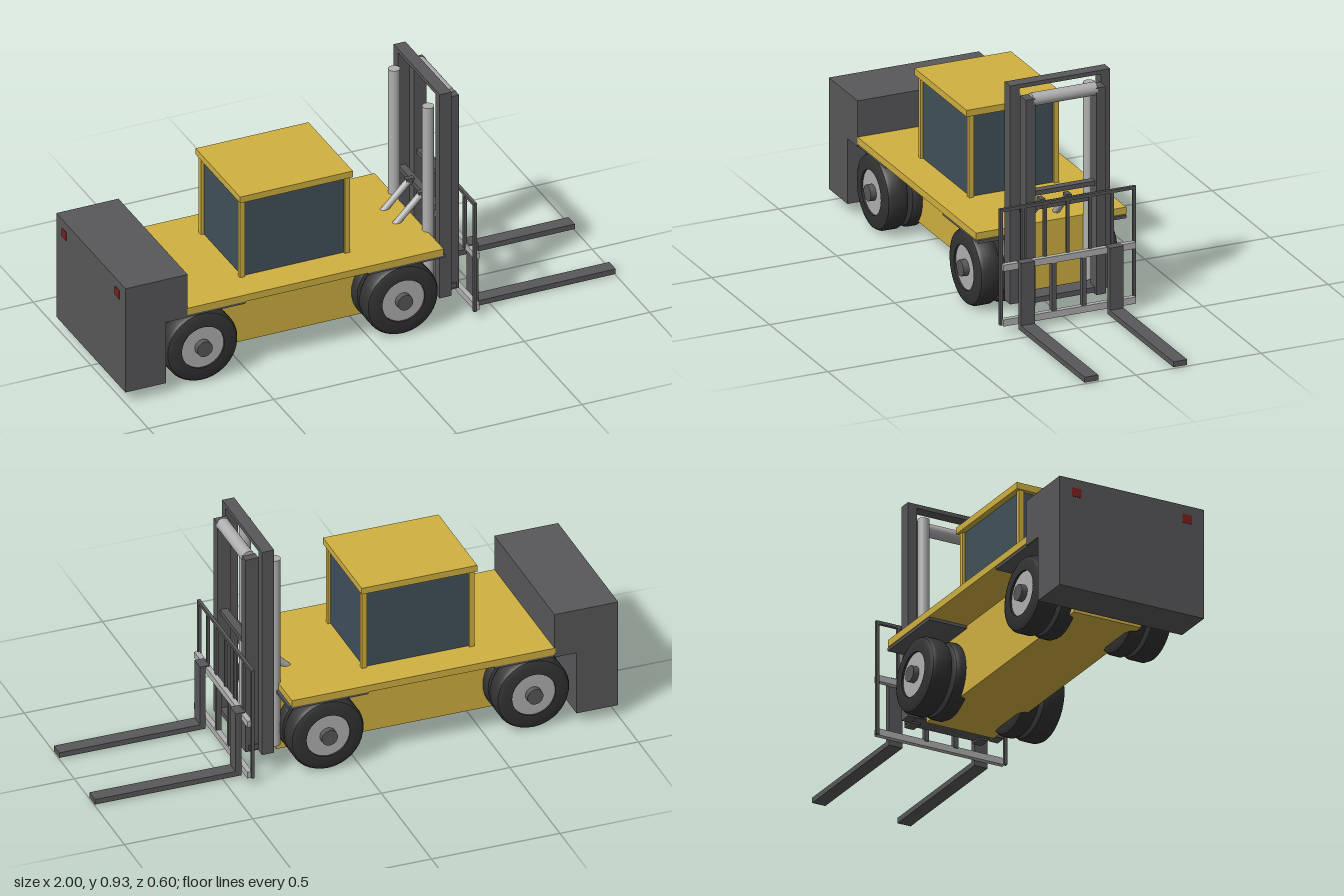
import * as THREE from 'three';
import { toCreasedNormals } from 'three/addons/utils/BufferGeometryUtils.js';

const mat = (color) => new THREE.MeshStandardMaterial({ color });

export function createModel() {
  const root = new THREE.Group();
  const yellow = mat(0xd0b040), dark = mat(0x58585a), black = mat(0x333333);
  const light = mat(0xb0b0b0), glass = mat(0x40505a), red = mat(0x802020);

  const add = (name, geometry, material, parent = root) => {
    const mesh = new THREE.Mesh(geometry, material);
    mesh.name = name;
    parent.add(mesh);
    return mesh;
  };
  // Box given by its lower and upper limits on each axis
  const box = (name, material, x0, x1, y0, y1, z0, z1, parent = root) => {
    const g = new THREE.BoxGeometry(x1 - x0, y1 - y0, z1 - z0);
    g.translate((x0 + x1) / 2, (y0 + y1) / 2, (z0 + z1) / 2);
    return add(name, g, material, parent);
  };
  // Round bar between two points
  const rod = (name, material, a, b, r, parent = root) => {
    const p = new THREE.Vector3(...a), d = new THREE.Vector3(...b).sub(p);
    const mesh = add(name, new THREE.CylinderGeometry(r, r, d.length(), 24), material, parent);
    mesh.position.copy(p).addScaledVector(d, 0.5);
    mesh.quaternion.setFromUnitVectors(new THREE.Vector3(0, 1, 0), d.normalize());
    return mesh;
  };
  const group = (name) => {
    const g = new THREE.Group();
    g.name = name;
    root.add(g);
    return g;
  };

  // Chassis and deck
  box('chassis', yellow, -0.82, 0.27, 0.05, 0.316, -0.14, 0.14);
  box('deck', yellow, -0.755, 0.27, 0.315, 0.343, -0.3, 0.3);

  // Counterweight with a notch above the rear wheels
  const weight = new THREE.Shape([
    [-1, 0.05], [-0.838, 0.05], [-0.838, 0.305], [-0.752, 0.305], [-0.752, 0.485], [-1, 0.485],
  ].map(([x, y]) => new THREE.Vector2(x, y)));
  const weightGeo = new THREE.ExtrudeGeometry(weight, { depth: 0.6, bevelEnabled: false });
  weightGeo.translate(0, 0, -0.3);
  add('counterweight', weightGeo, dark);

  // Cab
  const cab = group('cab');
  box('windows', glass, -0.475, -0.06, 0.342, 0.666, -0.17, 0.17, cab);
  box('roof', yellow, -0.493, -0.043, 0.664, 0.69, -0.193, 0.193, cab);
  for (const x of [-0.477, -0.059])
    for (const z of [-0.17, 0.17])
      box('cabPost', yellow, x - 0.01, x + 0.01, 0.342, 0.666, z - 0.01, z + 0.01, cab);

  // Twin-tyre wheels, axis along z
  const tyre = (z0, z1) => {
    const c = 0.015;
    const g = new THREE.LatheGeometry([
      [0.085, z0], [0.122, z0], [0.138, z0 + c / 2], [0.145, z0 + c * 1.4],
      [0.145, z1 - c * 1.4], [0.138, z1 - c / 2], [0.122, z1], [0.085, z1], [0.085, z0],
    ].map(([r, z]) => new THREE.Vector2(r, z)), 40);
    g.rotateX(Math.PI / 2);
    return toCreasedNormals(g, 0.6);
  };
  const tyres = [tyre(0.11, 0.184), tyre(0.188, 0.28)];
  for (const x of [-0.68, 0.12])
    for (const side of [1, -1]) {
      const wheel = group('wheel');
      wheel.position.set(x, 0.15, 0);
      if (side < 0) wheel.rotation.y = Math.PI;
      tyres.forEach((g) => add('tyre', g, black, wheel));
      rod('rim', light, [0, 0, 0.115], [0, 0, 0.272], 0.087, wheel);
      rod('hub', dark, [0, 0, 0.26], [0, 0, 0.295], 0.031, wheel);
    }

  // Parts mirrored left and right of the centre line
  const mast = group('mast'), carriage = group('carriage');
  for (const s of [1, -1]) {
    const pair = (name, m, x0, x1, y0, y1, z0, z1, parent) =>
      box(name, m, x0, x1, y0, y1, Math.min(s * z0, s * z1), Math.max(s * z0, s * z1), parent);

    pair('rearFender', dark, -0.83, -0.52, 0.304, 0.316, 0.135, 0.296);
    pair('frontFender', dark, -0.03, 0.28, 0.304, 0.316, 0.135, 0.296);
    pair('tailLight', red, -1.0, -0.99, 0.415, 0.45, 0.21, 0.25).position.x = -0.002;

    pair('outerUpright', dark, 0.3, 0.347, 0.075, 0.93, 0.163, 0.2, mast);
    pair('innerUpright', dark, 0.345, 0.396, 0.075, 0.885, 0.122, 0.16, mast);
    rod('liftCylinder', light, [0.278, 0.08, s * 0.148], [0.278, 0.862, s * 0.148], 0.022, mast);
    rod('tiltCylinder', light, [0.185, 0.33, s * 0.053], [0.29, 0.435, s * 0.053], 0.013, mast);
    pair('tiltBracket', dark, 0.28, 0.312, 0.425, 0.45, 0.043, 0.063, mast);

    // Forks with their hooks
    const fork = group('fork');
    pair('shank', dark, 0.43, 0.452, 0.01, 0.27, 0.15, 0.205, fork);
    pair('tine', dark, 0.43, 1, 0.01, 0.031, 0.15, 0.205, fork);
    pair('hook', dark, 0.415, 0.452, 0.262, 0.274, 0.15, 0.205, fork);

    pair('carriageBar', dark, 0.406, 0.426, 0.05, 0.25, 0.052, 0.069, carriage);
  }

  // Mast cross members and chain roller
  box('outerTopBeam', dark, 0.3, 0.347, 0.914, 0.93, -0.2, 0.2, mast);
  box('outerMiddleBeam', dark, 0.303, 0.33, 0.42, 0.44, -0.165, 0.165, mast);
  box('innerMiddleBeam', dark, 0.355, 0.385, 0.5, 0.518, -0.125, 0.125, mast);
  box('lowerBeam', dark, 0.31, 0.385, 0.082, 0.102, -0.165, 0.165, mast);
  rod('chainRoller', light, [0.372, 0.874, -0.128], [0.372, 0.874, 0.128], 0.025, mast);

  // Fork carriage and load backrest
  box('upperCarriageRail', light, 0.41, 0.43, 0.245, 0.27, -0.265, 0.265, carriage);
  box('lowerCarriageRail', light, 0.41, 0.43, 0.03, 0.056, -0.265, 0.265, carriage);
  box('backrestTop', dark, 0.404, 0.416, 0.472, 0.484, -0.272, 0.272, carriage);
  for (const z of [-0.266, -0.178, -0.09, 0, 0.09, 0.178, 0.266]) {
    const bottom = Math.abs(z) > 0.2 ? 0.03 : 0.25;
    box('backrestBar', dark, 0.404, 0.416, bottom, 0.475, z - 0.006, z + 0.006, carriage);
  }
  return root;
}
